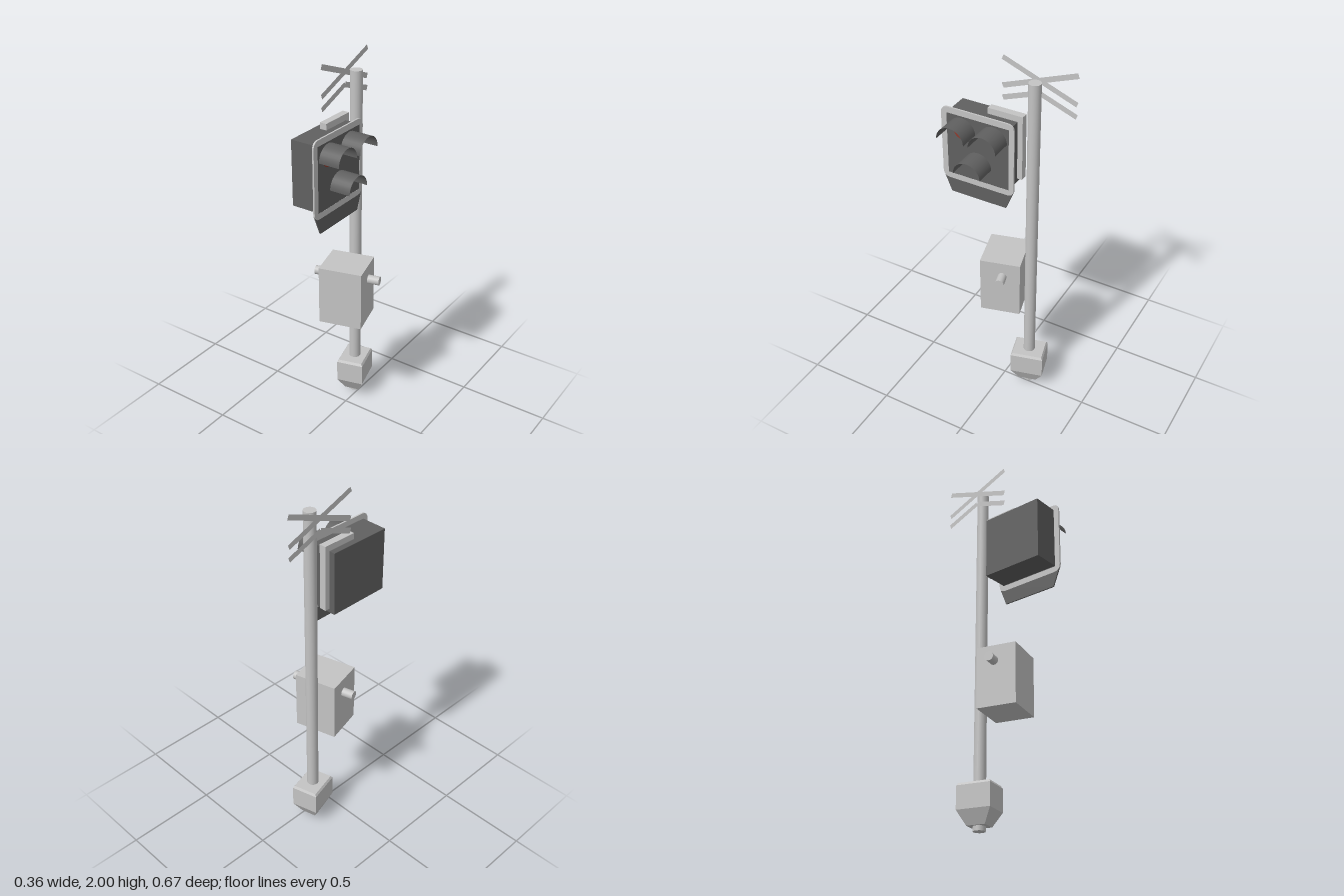
import * as THREE from 'three';

export function createModel() {
  const model = new THREE.Group();
  model.name = 'crossingSignal';

  const mat = (name, color) => {
    const m = new THREE.MeshStandardMaterial({ color, side: THREE.DoubleSide });
    m.name = name;
    return m;
  };
  const light = mat('galvanised grey', 0xc4c4c4);
  const dark = mat('dark grey', 0x606060);
  const red = mat('lens red', 0xe05a40);
  const dimRed = mat('unlit lens red', 0x8f3b2e);

  const add = (name, geo, material, x = 0, y = 0, z = 0, turn = 0) => {
    const mesh = new THREE.Mesh(geo, material);
    mesh.name = name;
    mesh.position.set(x, y, z);
    mesh.rotation.y = turn;
    model.add(mesh);
    return mesh;
  };
  const box = (w, h, d) => new THREE.BoxGeometry(w, h, d);
  const TURN = Math.PI / 12;
  const POLE_X = -0.033, POLE_Z = -0.14;

  // Pole
  add('pole', new THREE.CylinderGeometry(0.032, 0.032, 1.93, 20), light, POLE_X, 0.965, POLE_Z);

  // Tapered foot: box rows reshaped into [height, half width, half depth]
  const rows = [[0.025, 0.042, 0.05], [0.1, 0.075, 0.092], [0.222, 0.075, 0.092], [0.235, 0.067, 0.084]];
  const foot = new THREE.BoxGeometry(2, 3, 2, 1, 3, 1).toNonIndexed();
  const p = foot.attributes.position;
  for (let i = 0; i < p.count; i++) {
    const [y, w, d] = rows[Math.round(p.getY(i) + 1.5)];
    p.setXYZ(i, p.getX(i) * w, y, p.getZ(i) * d);
  }
  foot.computeVertexNormals();
  add('foot', foot, light, POLE_X, 0, POLE_Z, TURN);

  // Control cabinet with a pipe running through it
  add('cabinet', box(0.235, 0.33, 0.215), light, 0.003, 0.755, -0.004, TURN);
  const pipe = new THREE.CylinderGeometry(0.024, 0.024, 0.361, 18).rotateZ(Math.PI / 2);
  add('cabinetPipe', pipe, light, 0, 0.835, -0.016, TURN);

  // Lamp housing and its bracket
  add('lampHousing', box(0.147, 0.345, 0.35), dark, -0.032, 1.5225, 0.125);
  add('bracketTop', box(0.038, 0.033, 0.193), light, -0.053, 1.712, 0.0185);
  add('bracketSide', box(0.038, 0.325, 0.028), light, -0.053, 1.533, -0.064);

  // Plates are drawn in (-z, y) and extruded along +x
  const plate = (shape, depth) =>
    new THREE.ExtrudeGeometry(shape, { depth, bevelEnabled: false, curveSegments: 6 }).rotateY(Math.PI / 2);
  const rim = new THREE.Shape();
  const [l, r, b, t, c] = [-0.331, 0.076, 1.315, 1.725, 0.04];
  rim.moveTo(l + c, b).lineTo(r - c, b).quadraticCurveTo(r, b, r, b + c);
  rim.lineTo(r, t - c).quadraticCurveTo(r, t, r - c, t);
  rim.lineTo(l + c, t).quadraticCurveTo(l, t, l, t - c);
  rim.lineTo(l, b + c).quadraticCurveTo(l, b, l + c, b);
  const hole = new THREE.Path();
  hole.moveTo(-0.3, 1.347).lineTo(-0.3, 1.693).lineTo(0.048, 1.693).lineTo(0.048, 1.347).closePath();
  rim.holes.push(hole);
  add('plateRim', plate(rim, 0.009), light, 0.04);
  add('platePanel', box(0.008, 0.346, 0.348), dark, 0.0445, 1.52, 0.126);
  const skirt = new THREE.Shape();
  skirt.moveTo(-0.285, 1.233).lineTo(0.032, 1.233).lineTo(0.072, 1.335).lineTo(-0.327, 1.335).closePath();
  add('plateSkirt', plate(skirt, 0.007), dark, 0.041);

  // Half-round hoods above the lamps
  for (const [y, z] of [[1.608, 0.215], [1.608, 0.038], [1.434, 0.127]]) {
    const hood = new THREE.CylinderGeometry(0.076, 0.076, 0.114, 16, 1, true, Math.PI, Math.PI);
    add('lampHood', hood.rotateZ(-Math.PI / 2), dark, 0.105, y, z);
  }

  // Lenses
  const lens = new THREE.CircleGeometry(0.045, 24).rotateY(Math.PI / 2);
  add('litLens', lens, red, 0.052, 1.622, 0.018);
  add('unlitLens', lens, dimRed, 0.051, 1.61, 0.215);

  // Sign blades: a cross with a chevron below, each from (z, y) to (z, y)
  const blade = (name, z0, y0, z1, y1) => {
    const geo = new THREE.PlaneGeometry(Math.hypot(z1 - z0, y1 - y0), 0.028);
    geo.rotateZ(Math.atan2(y1 - y0, z0 - z1)).rotateY(Math.PI / 2);
    add(name, geo, light, -0.095, (y0 + y1) / 2, (z0 + z1) / 2);
  };
  blade('crossBlade', 0.066, 1.985, -0.33, 1.835);
  blade('crossBlade', 0.066, 1.835, -0.33, 1.985);
  blade('chevronBlade', 0.066, 1.77, -0.132, 1.844);
  blade('chevronBlade', -0.132, 1.844, -0.33, 1.77);

  return model;
}
